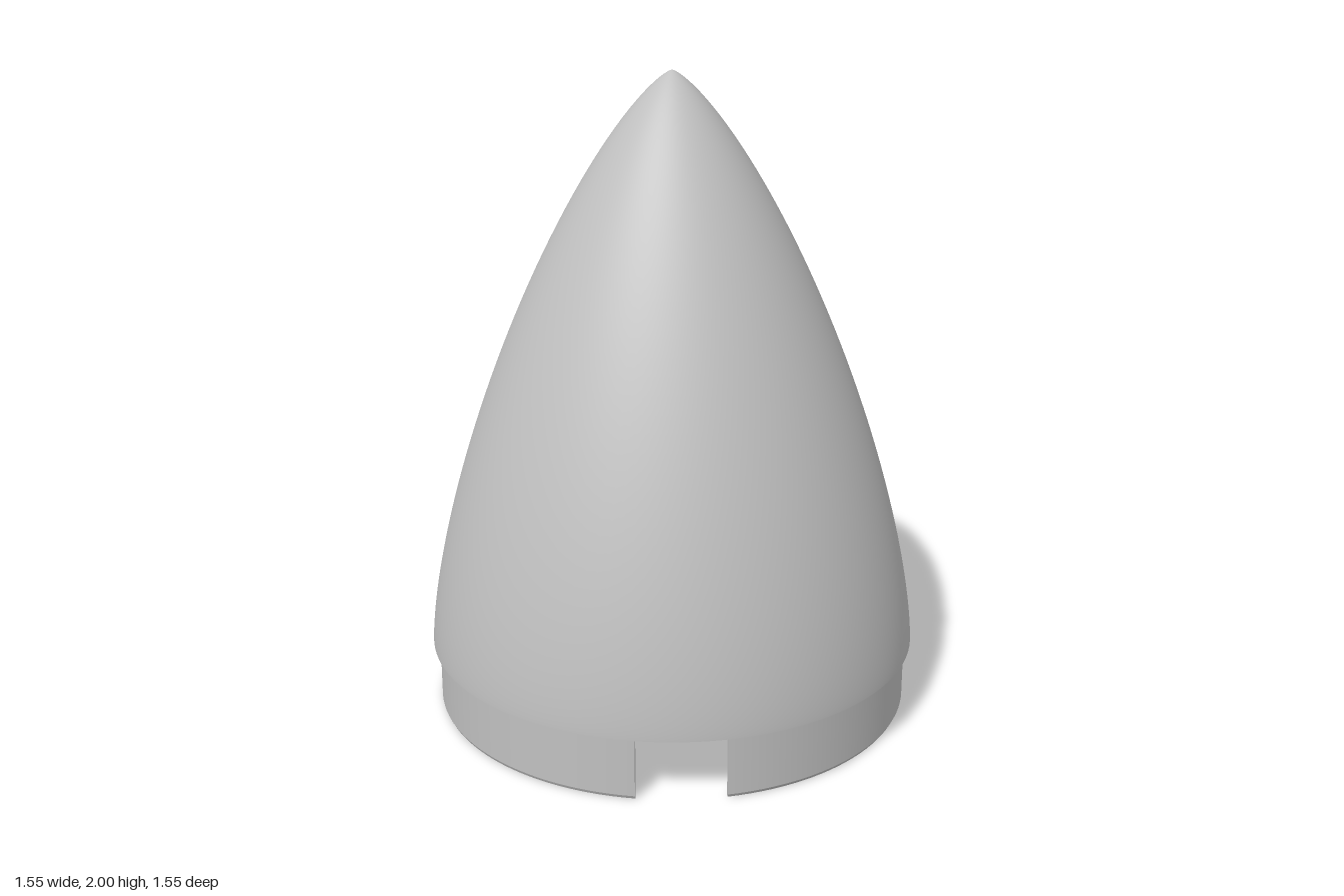
import * as THREE from 'three';

const material = new THREE.MeshStandardMaterial({ color: 0xc0c0c0, side: THREE.DoubleSide });
material.name = 'light grey';

const TOP = 2, STEP = 0.2, R = 0.775;      // tip height, shoulder height, base radius
const R_OUT = 0.755, R_IN = 0.742;         // shoulder wall
const GAP = Math.asin(0.135 / R_OUT);      // half angle of the front notch

function add(parent, name, geometry) {
  const mesh = new THREE.Mesh(geometry, material);
  mesh.name = name;
  parent.add(mesh);
  return mesh;
}

const points = list => list.map(([x, y]) => new THREE.Vector2(x, y));

// Minimum-drag ogive from base (radius r, y = STEP) up to the tip
function ogive(r, tip, steps = 56) {
  const out = [];
  for (let i = 0; i <= steps; i++) {
    const t = Math.PI * (1 - i / steps);
    const y = tip - (tip - STEP) * (1 - Math.cos(t)) / 2;
    const k = Math.max(0, t - Math.sin(2 * t) / 2) / Math.PI;
    out.push([r * Math.sqrt(k), y]);
  }
  return points(out);
}

export function createModel() {
  const model = new THREE.Group();
  model.name = 'noseCone';

  // Hollow cone: outer skin, inner skin and the step under its rim
  add(model, 'outerShell', new THREE.LatheGeometry(ogive(R, TOP), 128));
  add(model, 'innerShell', new THREE.LatheGeometry(ogive(R_IN, TOP - 0.06).reverse(), 128));
  add(model, 'rimStep', new THREE.LatheGeometry(points([[R_IN, STEP], [R, STEP]]), 128));

  // Shoulder ring, open at the front; separate strips keep its edges sharp
  const shoulder = new THREE.Group();
  shoulder.name = 'shoulder';
  model.add(shoulder);
  const section = [[R_IN, STEP], [R_IN, 0], [R_OUT - 0.005, 0], [R_OUT, 0.01], [R_OUT, STEP]];
  const names = ['innerWall', 'bottomEdge', 'bottomChamfer', 'outerWall'];
  names.forEach((name, i) => add(shoulder, name, new THREE.LatheGeometry(
    points([section[i], section[i + 1]]), 128, GAP, Math.PI * 2 - 2 * GAP)));

  // Flat ends of the ring on both sides of the notch
  for (const side of [-1, 1]) {
    const end = add(shoulder, 'notchEnd', new THREE.ShapeGeometry(new THREE.Shape(points(section))));
    end.rotation.y = side * GAP - Math.PI / 2;
  }

  // Drilled lugs on the inside of the shoulder
  const profile = new THREE.Shape(points([
    [0.748, 0.01], [0.69, 0.01], [0.65, 0.05], [0.65, 0.12], [0.748, 0.19]]));
  const hole = new THREE.Path();
  hole.absarc(0.695, 0.08, 0.022, 0, Math.PI * 2, true);
  profile.holes.push(hole);
  const lugGeometry = new THREE.ExtrudeGeometry(profile, { depth: 0.12, bevelEnabled: false, curveSegments: 12 });
  lugGeometry.translate(0, 0, -0.06);
  for (const degrees of [57, -30, -122]) {
    add(model, 'lug', lugGeometry).rotation.y = -THREE.MathUtils.degToRad(degrees);
  }

  return model;
}
